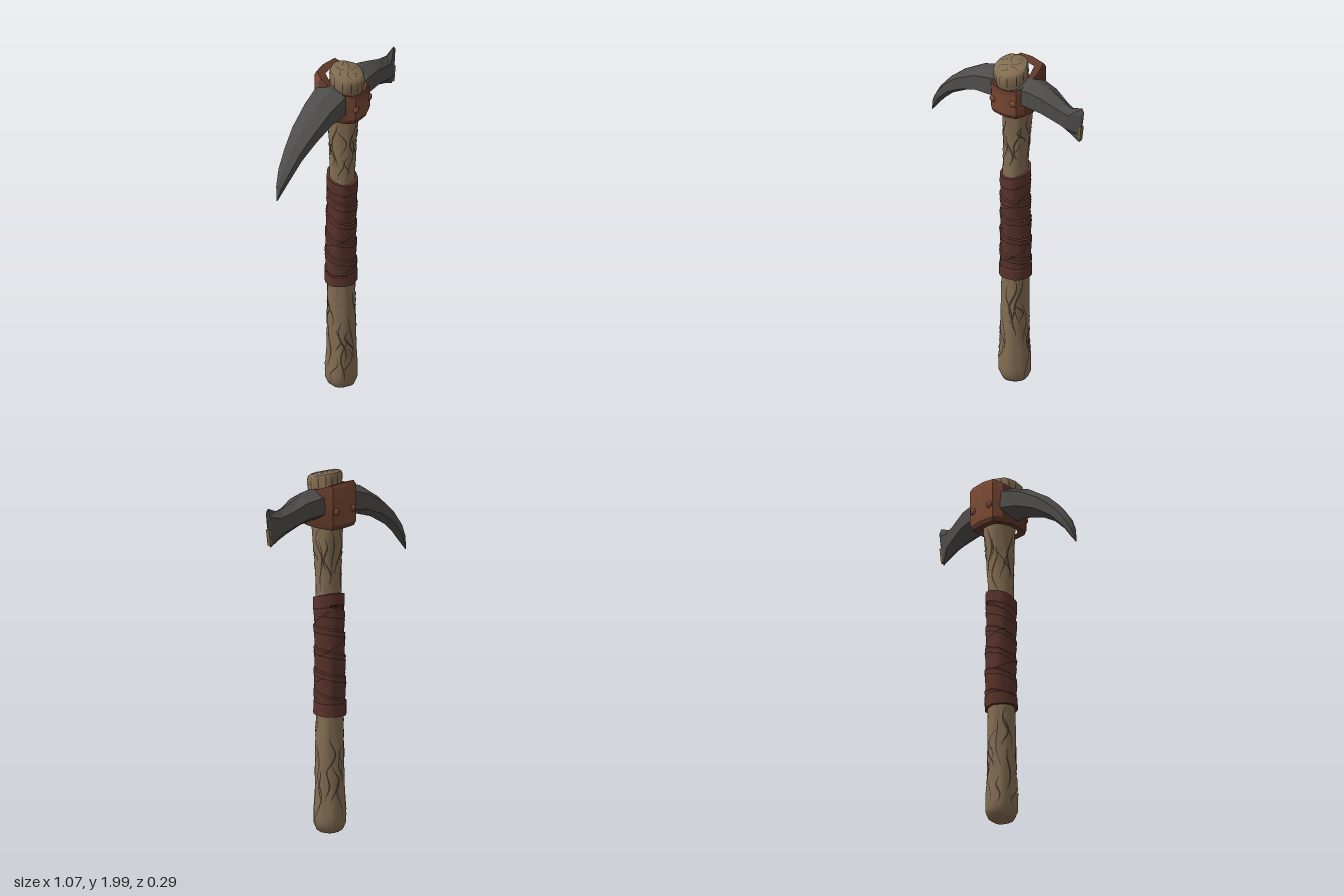
import * as THREE from 'three';
import { toCreasedNormals, mergeGeometries } from 'three/addons/utils/BufferGeometryUtils.js';

const V = (x, y, z) => new THREE.Vector3(x, y, z);
const TAU = Math.PI * 2;
const { lerp, smoothstep } = THREE.MathUtils;

let seed = 7;
const rand = () => (seed = (seed * 16807) % 2147483647) / 2147483647;

const paint = (name, color, side = THREE.FrontSide) =>
  Object.assign(new THREE.MeshStandardMaterial({ color, side }), { name });

// Triangles to geometry; crease 0 gives flat facets
function build(tris, crease) {
  const g = new THREE.BufferGeometry().setFromPoints(tris);
  g.computeVertexNormals();
  return crease ? toCreasedNormals(g, crease) : g;
}

// Skin a row of closed rings, keeping quads accepted by pick, with end caps
function loft(rings, crease = 0, caps = true, pick = () => true) {
  const t = [], n = rings[0].length;
  for (let i = 0; i < rings.length - 1; i++) for (let j = 0; j < n; j++) {
    if (!pick(i, j)) continue;
    const k = (j + 1) % n;
    const [a, b, c, d] = [rings[i][j], rings[i][k], rings[i + 1][k], rings[i + 1][j]];
    t.push(a, d, c, a, c, b);
  }
  if (caps) [rings[0], rings[rings.length - 1]].forEach((r, e) => {
    const c = r.reduce((s, p) => s.add(p), V(0, 0, 0)).divideScalar(n);
    r.forEach((p, j) => t.push(c, e ? r[(j + 1) % n] : p, e ? p : r[(j + 1) % n]));
  });
  return build(t, crease);
}

// Thin tapered line laid on a surface
function ribbon(pts, normals, width, taper = true) {
  const t = [], m = pts.length - 1;
  const edges = pts.map((p, i) => {
    const dir = pts[Math.min(i + 1, m)].clone().sub(pts[Math.max(i - 1, 0)]);
    const w = width / 2 * (taper ? 0.25 + Math.sin(Math.PI * i / m) * 0.75 : 1);
    const s = normals[i].clone().cross(dir).normalize().multiplyScalar(w);
    return [p.clone().sub(s), p.clone().add(s)];
  });
  for (let i = 0; i < m; i++) {
    const [a, b] = edges[i], [d, c] = edges[i + 1];
    t.push(a, c, b, a, d, c);
    t.splice(-6, 6, a, b, c, a, c, d);
  }
  return build(t, 0);
}

// Handle profile: y, centre x, centre z, radius x, radius z
const profile = [
  [0.005, 0.047, 0, 0.05, 0.05], [0.02, 0.047, 0, 0.072, 0.072], [0.055, 0.047, 0, 0.087, 0.086],
  [0.13, 0.047, 0, 0.086, 0.086], [0.24, 0.047, 0, 0.079, 0.079], [0.6, 0.046, -0.003, 0.074, 0.074],
  [1.0, 0.05, -0.002, 0.07, 0.07], [1.35, 0.053, 0, 0.068, 0.068], [1.52, 0.058, 0, 0.071, 0.074],
  [1.7, 0.065, 0, 0.079, 0.088], [1.82, 0.058, 0.015, 0.085, 0.09], [1.9, 0.05, 0.034, 0.09, 0.091],
  [1.95, 0.05, 0.035, 0.094, 0.093], [1.967, 0.05, 0.035, 0.088, 0.087], [1.976, 0.05, 0.035, 0.074, 0.073],
];
const tiltTop = (z, y) => y - (z - 0.035) * 0.25 * smoothstep(y, 1.8, 1.95);

function handleAt(a, y, off = 0) {
  let i = 0;
  while (i < profile.length - 2 && profile[i + 1][0] < y) i++;
  const p = profile[i], q = profile[i + 1], f = (y - p[0]) / (q[0] - p[0]);
  const [cx, cz, rx, rz] = [1, 2, 3, 4].map(k => lerp(p[k], q[k], f));
  const bump = off + 0.0018 * Math.sin(5 * a + 7 * y) + 0.001 * Math.sin(9 * a - 11 * y);
  const z = cz + (rz + bump) * Math.sin(a);
  return V(cx + (rx + bump) * Math.cos(a), tiltTop(z, y), z);
}
const radial = a => V(Math.cos(a), 0, Math.sin(a));
const ringOf = (n, f) => Array.from({ length: n }, (_, j) => f(j / n * TAU));
const steps = (n, f) => Array.from({ length: n + 1 }, (_, i) => f(i / n));

// Leather wrap: thickness follows an overlapping spiral between two cuffs
const W0 = 0.655, W1 = 1.305;
function wrapOff(a, y) {
  if (y < W0 + 0.065 || y > W1 - 0.065) return 0.0145;
  const f = (y - W0) / 0.12 - a / TAU;
  return 0.008 + 0.007 * (f - Math.floor(f));
}
function wrapAt(a, y, extra = 0) {
  const p = handleAt(a, y, wrapOff(a, y) + extra), t = (y - W0) / (W1 - W0);
  p.y += -Math.sin(a) * lerp(-0.004, 0.024, t) + Math.cos(a) * 0.01 * t;
  return p;
}

// Head stations: top x, y, bottom x, y, half thickness
const stations = [
  [-0.537, 1.442, -0.535, 1.44, 0.003], [-0.52, 1.53, -0.505, 1.475, 0.02], [-0.475, 1.61, -0.455, 1.54, 0.038],
  [-0.4, 1.7, -0.38, 1.61, 0.056], [-0.31, 1.78, -0.27, 1.675, 0.071], [-0.177, 1.865, -0.15, 1.715, 0.09],
  [-0.06, 1.908, -0.05, 1.728, 0.097], [0, 1.9, 0, 1.74, 0.083], [0.12, 1.9, 0.12, 1.745, 0.08],
  [0.19, 1.912, 0.19, 1.745, 0.087], [0.28, 1.9, 0.29, 1.738, 0.069], [0.395, 1.857, 0.39, 1.705, 0.047],
  [0.455, 1.845, 0.44, 1.685, 0.034], [0.52, 1.872, 0.5, 1.655, 0.012], [0.534, 1.85, 0.505, 1.665, 0.003],
];
const section = [[-0.12, 1], [-0.95, 0.58], [-1, -0.5], [-0.12, -1], [0.12, -1], [1, -0.5], [0.95, 0.58], [0.12, 1]];

// Collar outline in x, z
const outline = [
  [0.177, 0], [0.167, 0.065], [0.152, 0.11], [0.1, 0.132], [0.055, 0.135], [-0.005, 0.13], [-0.04, 0.095],
  [-0.058, 0.04], [-0.065, -0.01], [-0.048, -0.08], [-0.022, -0.128], [0.055, -0.138], [0.155, -0.128], [0.172, -0.06],
];

export function createModel() {
  const model = new THREE.Group();
  model.name = 'pickHammer';
  const wood = paint('wood', 0x836d52);
  const grain = paint('dark grain', 0x40342a, THREE.DoubleSide);
  const leather = paint('dark leather', 0x5a332b);
  const seam = paint('leather seam', 0x331d19, THREE.DoubleSide);
  const collarSkin = paint('collar leather', 0x774732);
  const rimSkin = paint('collar rim', 0x5e3729);
  const metal = paint('dark metal', 0x4e4c4a);
  const worn = paint('worn edge', 0x7a6245);
  const add = (name, geo, mat) => {
    const m = new THREE.Mesh(geo, mat);
    m.name = name;
    model.add(m);
    return m;
  };

  // Handle
  const levels = [];
  profile.slice(0, -1).forEach((p, i) => {
    const q = profile[i + 1], n = Math.max(1, Math.round((q[0] - p[0]) / 0.05));
    for (let k = 0; k < n; k++) levels.push(lerp(p[0], q[0], k / n));
  });
  levels.push(1.976);
  add('handle', loft(levels.map(y => ringOf(40, a => handleAt(a, y))), 0.7), wood);

  // Wood grain and end cracks
  const lines = [];
  const grainLine = (a0, y0, y1, width) => {
    const ph = rand() * TAU, amp = 0.1 + rand() * 0.2, lean = (rand() - 0.5) * 0.7;
    const ang = steps(12, t => a0 + lean * t + amp * Math.sin(ph + t * 6));
    lines.push(ribbon(ang.map((a, i) => handleAt(a, lerp(y0, y1, i / 12), 0.0018)), ang.map(radial), width));
  };
  for (let i = 0; i < 26; i++) {
    const y = 0.05 + rand() * 0.38;
    grainLine(i * 2.4, y, Math.min(0.65, y + 0.1 + rand() * 0.2), 0.006 + rand() * 0.005);
  }
  for (let i = 0; i < 20; i++) {
    const y = 1.31 + rand() * 0.2;
    grainLine(i * 2.4, y, Math.min(1.7, y + 0.1 + rand() * 0.2), 0.006 + rand() * 0.005);
  }
  for (let i = 0; i < 14; i++) {
    const a = i / 14 * TAU + rand() * 0.2;
    lines.push(ribbon(steps(4, t => handleAt(a, lerp(1.89, 1.965, t), 0.002)), steps(4, () => radial(a)), 0.006));
    if (i % 2) {
      const r0 = i % 4 === 1 ? 0.005 : 0.035;
      lines.push(ribbon(steps(5, t => {
        const r = lerp(r0, 0.073, t), b = a + 0.25 * Math.sin(t * 5 + i);
        const z = 0.035 + r * Math.sin(b);
        return V(0.05 + r * Math.cos(b), tiltTop(z, 1.9778), z);
      }), steps(5, () => V(0, 1, 0)), 0.005));
    }
  }
  add('woodGrain', mergeGeometries(lines), grain);

  // Leather wrap
  const wrapRings = steps(90, t => ringOf(40, a => wrapAt(a, lerp(W0, W1, t))));
  wrapRings.unshift(ringOf(40, a => wrapAt(a, W0, -0.018)));
  wrapRings.push(ringOf(40, a => wrapAt(a, W1, -0.018)));
  add('gripWrap', loft(wrapRings, 0.6, false), leather);

  // Wrap seams: spiral laps, crossing laps and cuff edges
  const seams = [];
  const seamLine = (a0, a1, y0, y1) => {
    const ang = steps(30, t => lerp(a0, a1, t));
    seams.push(ribbon(ang.map((a, i) => wrapAt(a, lerp(y0, y1, i / 30), 0.002)), ang.map(radial), 0.006, false));
  };
  for (let k = 0; k < 4; k++) seamLine(0, TAU, W0 + 0.09 + k * 0.12, W0 + 0.21 + k * 0.12 - (k === 3 ? 0.03 : 0));
  for (let k = 0; k < 4; k++) seamLine(k * 1.9 + 2.4, k * 1.9 - 0.2, W0 + 0.08 + k * 0.12, W0 + 0.2 + k * 0.12);
  [W0 + 0.068, W1 - 0.068].forEach(y => seamLine(0, TAU, y, y));
  add('wrapSeams', mergeGeometries(seams), seam);

  // Head: curved pick on one side, flared blade on the other
  add('head', loft(stations.map(([ux, uy, lx, ly, w], i) => section.map(([z, s]) => {
    const f = (s + 1) / 2, nick = (i % 2 ? 0.96 : 1.02);
    return V(lerp(lx, ux, f), lerp(ly, uy, f), z * w * nick);
  }))), metal);
  const chip = add('wornBladeEdge', new THREE.BoxGeometry(0.016, 0.09, 0.022), worn);
  chip.position.set(0.509, 1.712, 0);
  chip.rotation.z = -0.13;

  // Collar: sloping top, light front and back panels, darker rims and sides
  const collarRing = (scale, yOf) => outline.map(([x, z]) => V(0.055 + (x - 0.055) * scale, yOf(z), z * scale));
  const top = d => z => 1.905 - z * 0.33 + d;
  const collarRings = [
    collarRing(0.65, () => 1.705), collarRing(0.93, () => 1.7), collarRing(1, () => 1.725),
    collarRing(1, top(-0.022)), collarRing(0.92, top(0)), collarRing(0.6, top(-0.012)),
  ];
  const panel = (i, j) => i === 2 && ((j >= 1 && j <= 5) || (j >= 9 && j <= 11));
  const backBevel = (i, j) => i === 3 && j >= 9 && j <= 11;
  const light = (i, j) => panel(i, j) || backBevel(i, j);
  add('collarPanels', loft(collarRings, 0.5, false, light), collarSkin);
  add('collarRim', loft(collarRings, 0.5, false, (i, j) => !light(i, j)), rimSkin);

  // Rivets
  [[0.003, 1.785, 0.128], [0.135, 1.797, 0.118], [0.003, 1.8, -0.13], [0.128, 1.8, -0.13]].forEach(([x, y, z]) => {
    const r = add('rivet', new THREE.SphereGeometry(0.02, 14, 10), collarSkin);
    r.position.set(x, y, z);
    r.scale.z = 0.7;
  });
  return model;
}
